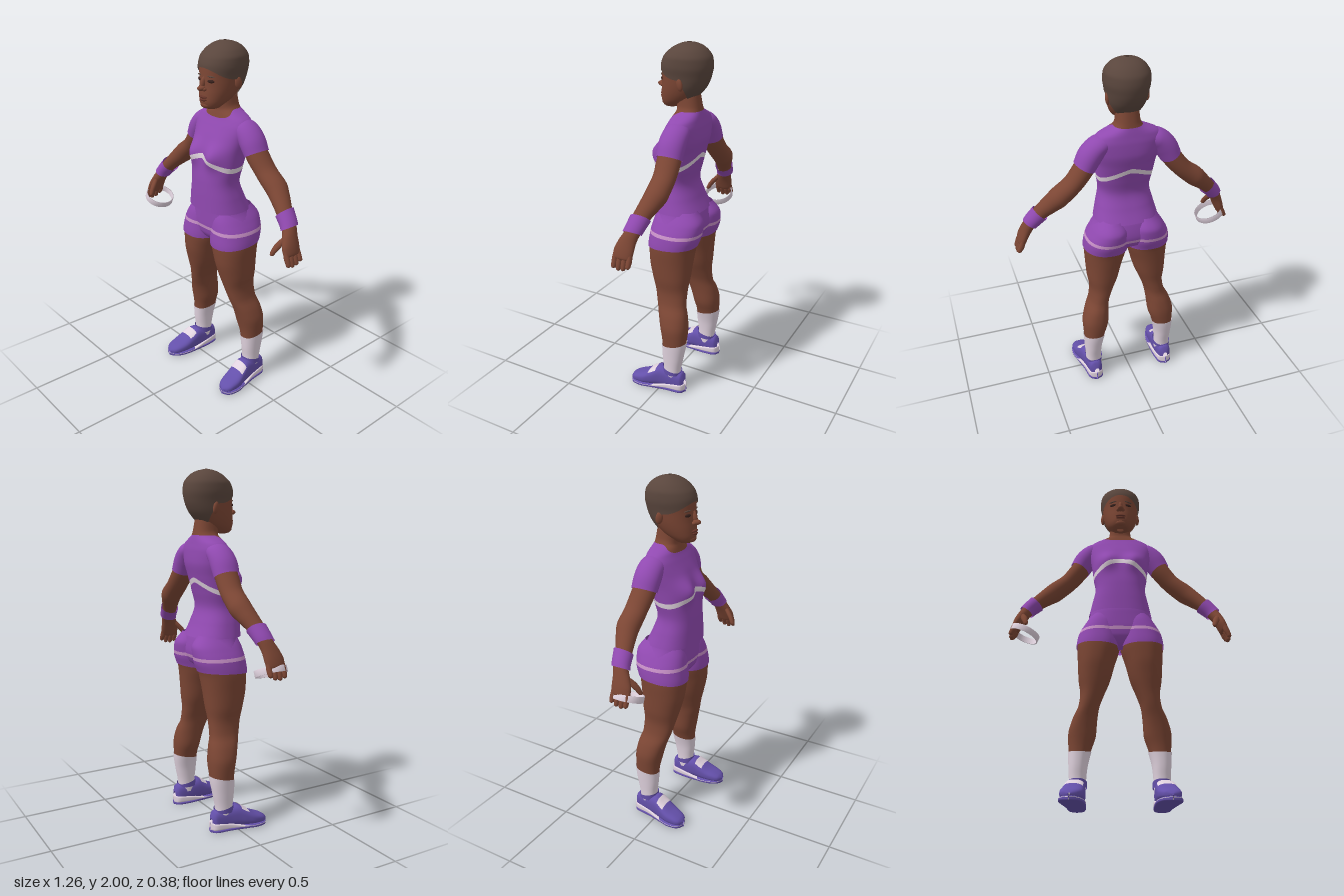
import * as THREE from 'three';

const mat = (name, color, side = THREE.DoubleSide) => {
  const m = new THREE.MeshStandardMaterial({ color, side });
  m.name = name;
  return m;
};

// Smooth interpolation of table rows [v, a, b, ...] without overshoot
function sample(rows, v) {
  let i = 0;
  while (i < rows.length - 2 && v > rows[i + 1][0]) i++;
  const r0 = rows[i], r1 = rows[i + 1], h = r1[0] - r0[0];
  const t = Math.min(1, Math.max(0, (v - r0[0]) / h));
  const slope = (j, k) => (rows[j + 1][k] - rows[j][k]) / (rows[j + 1][0] - rows[j][0]);
  const tangent = (j, k) => {
    if (j === 0) return slope(0, k);
    if (j === rows.length - 1) return slope(j - 1, k);
    const a = slope(j - 1, k), b = slope(j, k);
    return a * b <= 0 ? 0 : (2 * a * b) / (a + b);
  };
  return r0.slice(1).map((p, n) => {
    const k = n + 1, q = r1[k];
    return p + (q - p) * t * t * (3 - 2 * t)
      + h * t * (1 - t) * ((1 - t) * tangent(i, k) - t * tangent(i + 1, k));
  });
}

const pow = (c, e) => Math.sign(c) * Math.abs(c) ** e;

// Surface of stacked rounded sections; rows are [v, min a, max a, min b, max b]
function stack(rows, axis = 'y', e = 0.9) {
  const f = (u, v, off) => {
    const [a0, a1, b0, b1] = sample(rows, v);
    const a = (a0 + a1) / 2 + ((a1 - a0) / 2 + off) * pow(Math.cos(u), e);
    const b = (b0 + b1) / 2 + ((b1 - b0) / 2 + off) * pow(Math.sin(u), e);
    return axis === 'y' ? [a, v, b] : [a, b, v];
  };
  f.flip = axis === 'y';
  return f;
}

// Surface along a bent limb; points are [x, y, z, radius, z radius]
function limb(points) {
  const rows = points.map((p, i) => [i, ...p]);
  return (u, v, off) => {
    const [x, y, z, r, rz] = sample(rows, v);
    const p = sample(rows, Math.max(0, v - 0.1)), q = sample(rows, Math.min(rows.length - 1, v + 0.1));
    const tx = q[0] - p[0], ty = q[1] - p[1], l = Math.hypot(tx, ty) || 1;
    const c = Math.cos(u) * (r + off);
    return [x - (ty / l) * c, y + (tx / l) * c, z + Math.sin(u) * (rz + off)];
  };
}

// Mesh of the part of a surface between two v limits (numbers or functions of u)
function patch(name, f, lo, hi, material, { off = 0, s = 1, nu = 48, nv = 32, u0 = 0, u1 = Math.PI * 2 } = {}) {
  const at = (g, u) => (typeof g === 'function' ? g(u) : g);
  const full = u1 - u0 > 6.28, cols = full ? nu : nu + 1, pos = [], idx = [];
  for (let j = 0; j <= nv; j++) for (let i = 0; i < cols; i++) {
    const u = u0 + ((u1 - u0) * i) / nu, a = at(lo, u), b = at(hi, u);
    const p = f(u, a + ((b - a) * j) / nv, off);
    pos.push(p[0] * s, p[1], p[2]);
  }
  const flip = !!f.flip !== s < 0;
  for (let j = 0; j < nv; j++) for (let i = 0; i < nu; i++) {
    const a = j * cols + i, b = j * cols + ((i + 1) % cols), c = a + cols, d = b + cols;
    idx.push(...(flip ? [a, c, b, b, c, d] : [a, b, c, b, d, c]));
  }
  const g = new THREE.BufferGeometry();
  g.setAttribute('position', new THREE.Float32BufferAttribute(pos, 3));
  g.setIndex(idx);
  g.computeVertexNormals();
  const m = new THREE.Mesh(g, material);
  m.name = name;
  return m;
}

function ball(name, material, [x, y, z], [a, b, c], rot = [0, 0, 0]) {
  const m = new THREE.Mesh(new THREE.SphereGeometry(1, 20, 14), material);
  m.name = name;
  m.position.set(x, y, z);
  m.scale.set(a, b, c);
  m.rotation.set(...rot);
  return m;
}

export function createModel() {
  const model = new THREE.Group();
  model.name = 'athlete';
  const add = (...parts) => model.add(...parts);
  const skin = mat('skin', 0x7c4634), hair = mat('hair', 0x5a463d), purple = mat('purple cloth', 0x9049b0);
  const white = mat('pale trim', 0xe0d2de), pink = mat('pink trim', 0xc68fc6), shoe = mat('shoe purple', 0x6450aa);
  const dark = mat('eye dark', 0x3a231e), lip = mat('lips', 0x66352a);

  // Torso and neck share one surface
  const trunk = stack([
    [1.08, -0.183, 0.183, -0.158, 0.13], [1.16, -0.163, 0.163, -0.12, 0.13], [1.25, -0.145, 0.145, -0.092, 0.128],
    [1.33, -0.157, 0.157, -0.108, 0.12], [1.42, -0.168, 0.168, -0.13, 0.105], [1.5, -0.185, 0.185, -0.145, 0.075],
    [1.56, -0.195, 0.195, -0.142, 0.045], [1.6, -0.17, 0.17, -0.135, 0.025], [1.625, -0.12, 0.12, -0.13, 0.016],
    [1.645, -0.078, 0.078, -0.125, 0.01], [1.67, -0.066, 0.066, -0.12, 0.012], [1.73, -0.06, 0.06, -0.11, 0.02]], 'y', 0.85);
  const torso = (u, v, off) => {
    const p = trunk(u, v, off);
    if (p[2] > 0) p[2] += 0.036 * Math.exp(-(((Math.abs(p[0]) - 0.08) / 0.055) ** 2) - ((v - 1.405) / 0.06) ** 2);
    return p;
  };
  torso.flip = true;
  const chevron = (d) => (u) => 1.4 + d - 0.07 * Math.abs(Math.cos(u)) ** 1.1;
  const neckline = (u) => 1.645 - 0.045 * Math.max(0, Math.sin(u)) ** 2;
  add(patch('lowerShirt', torso, 1.085, chevron(-0.014), purple, { nu: 72 }),
    patch('chestStripe', torso, chevron(-0.014), chevron(0.014), white, { nu: 72, nv: 4 }),
    patch('upperShirt', torso, chevron(0.014), neckline, purple, { nu: 72 }),
    patch('neck', torso, neckline, 1.73, skin, { nv: 16 }));

  // Hips of the shorts
  const hips = stack([
    [0.87, -0.02, 0.02, -0.05, 0.03], [0.9, -0.12, 0.12, -0.09, 0.075], [0.94, -0.21, 0.21, -0.145, 0.1],
    [1, -0.216, 0.216, -0.165, 0.108], [1.08, -0.181, 0.181, -0.152, 0.108], [1.14, -0.16, 0.16, -0.12, 0.1]]);
  add(patch('lowerHips', hips, 0.87, 0.965, purple, { nv: 14 }),
    patch('hipStripe', hips, 0.965, 0.984, pink, { nv: 2 }),
    patch('upperHips', hips, 0.984, 1.14, purple, { nv: 14 }));

  // Head, with the hair over its upper part
  const head = stack([
    [1.652, -0.02, 0.02, 0.04, 0.07], [1.658, -0.042, 0.042, 0.01, 0.09], [1.675, -0.06, 0.06, -0.02, 0.102],
    [1.7, -0.076, 0.076, -0.07, 0.108], [1.74, -0.091, 0.091, -0.115, 0.106], [1.78, -0.1, 0.1, -0.145, 0.102],
    [1.83, -0.106, 0.106, -0.165, 0.1], [1.88, -0.114, 0.114, -0.173, 0.097], [1.92, -0.112, 0.112, -0.168, 0.083],
    [1.955, -0.094, 0.094, -0.146, 0.052], [1.98, -0.066, 0.066, -0.115, 0.015],
    [1.994, -0.034, 0.034, -0.08, -0.02], [2, -0.002, 0.002, -0.05, -0.046]], 'y', 0.95);
  const hairline = (u) => {
    const s = Math.sin(u);
    return s > 0 ? 1.815 + 0.06 * s * s : 1.815 - 0.105 * Math.min(1, -s * 1.3);
  };
  add(patch('face', head, 1.652, (u) => hairline(u) + 0.02, skin),
    patch('hair', head, hairline, 2, hair, { off: 0.007 }),
    ball('noseBridge', skin, [0, 1.797, 0.1], [0.013, 0.035, 0.018], [-0.3, 0, 0]),
    ball('noseTip', skin, [0, 1.769, 0.112], [0.02, 0.015, 0.027]),
    ball('upperLip', lip, [0, 1.722, 0.103], [0.03, 0.008, 0.014]),
    ball('lowerLip', lip, [0, 1.708, 0.103], [0.027, 0.009, 0.014]),
    ball('chin', skin, [0, 1.678, 0.085], [0.035, 0.02, 0.023]));

  // Shoe and sole surfaces, running heel to toe
  const upper = stack([
    [-0.148, 0.212, 0.24, 0.035, 0.08], [-0.135, 0.192, 0.262, 0.018, 0.118], [-0.1, 0.184, 0.268, 0.012, 0.128],
    [-0.05, 0.181, 0.275, 0.012, 0.135], [0, 0.181, 0.286, 0.012, 0.142], [0.05, 0.183, 0.3, 0.012, 0.115],
    [0.1, 0.189, 0.309, 0.012, 0.085], [0.15, 0.203, 0.304, 0.012, 0.065], [0.178, 0.222, 0.288, 0.015, 0.05],
    [0.188, 0.25, 0.262, 0.025, 0.035]], 'z', 0.75);
  const sole = (y0, y1, y2, y3) => stack([
    [-0.156, 0.224, 0.23, y0, y1], [-0.15, 0.2, 0.252, y0, y1], [-0.125, 0.183, 0.27, y0, y1],
    [-0.05, 0.176, 0.279, y0, y2], [0.06, 0.178, 0.304, y0, y3], [0.11, 0.185, 0.314, y0, y3],
    [0.155, 0.202, 0.308, y0, y3], [0.183, 0.23, 0.284, y0, y3], [0.19, 0.254, 0.26, y0, y3]], 'z', 0.45);
  const midsole = sole(0.012, 0.056, 0.046, 0.02), outsole = sole(0, 0.016, 0.016, 0.024);

  const leg = stack([
    [0.08, 0.185, 0.266, -0.11, -0.02], [0.14, 0.184, 0.267, -0.115, -0.02], [0.22, 0.178, 0.272, -0.13, -0.012],
    [0.32, 0.156, 0.279, -0.146, -0.005], [0.4, 0.131, 0.283, -0.15, 0.01], [0.48, 0.125, 0.263, -0.14, 0.03],
    [0.55, 0.115, 0.23, -0.122, 0.053], [0.62, 0.09, 0.221, -0.121, 0.07], [0.7, 0.057, 0.232, -0.13, 0.091],
    [0.8, 0.03, 0.238, -0.14, 0.112], [0.89, 0.004, 0.243, -0.152, 0.117], [0.96, -0.002, 0.236, -0.175, 0.11],
    [1.03, 0.005, 0.203, -0.182, 0.098], [1.1, 0.03, 0.155, -0.14, 0.07]]);
  const hem = (u) => 0.892 + 0.006 * Math.cos(u) - 0.01 * Math.sin(u);

  const sleeve = limb([[0.08, 1.575, -0.06, 0.03, 0.045], [0.16, 1.546, -0.06, 0.057, 0.073],
    [0.21, 1.494, -0.06, 0.065, 0.076], [0.243, 1.435, -0.062, 0.06, 0.073]]);
  const arm = limb([[0.15, 1.54, -0.06, 0.05, 0.06], [0.2, 1.495, -0.06, 0.056, 0.066], [0.252, 1.42, -0.064, 0.055, 0.066],
    [0.315, 1.345, -0.07, 0.052, 0.063], [0.385, 1.287, -0.07, 0.056, 0.063], [0.44, 1.237, -0.055, 0.048, 0.056],
    [0.49, 1.187, -0.035, 0.04, 0.047], [0.54, 1.13, -0.02, 0.034, 0.043], [0.567, 1.08, 0, 0.03, 0.05],
    [0.586, 1.035, 0.01, 0.027, 0.057], [0.598, 1, 0.012, 0.022, 0.052], [0.603, 0.985, 0.012, 0.004, 0.02]]);

  for (const s of [1, -1]) {
    const side = s > 0 ? 'left' : 'right';
    const part = (name, ...rest) => {
      const o = typeof rest[rest.length - 1] === 'object' && !rest[rest.length - 1].isMaterial ? rest.pop() : {};
      add(patch(side + name, ...rest, { ...o, s }));
    };
    // Legs, shorts and socks
    part('Leg', leg, 0.28, 0.91, skin);
    part('ShortsLeg', leg, hem, 0.965, purple, { off: 0.006, nv: 8 });
    part('ShortsStripe', leg, 0.965, 0.984, pink, { off: 0.006, nv: 2 });
    part('ShortsSeat', leg, 0.984, 1.1, purple, { off: 0.006, nv: 12 });
    part('Sock', leg, 0.08, (u) => 0.31 - 0.015 * Math.sin(u), white, { off: 0.004, nv: 16 });
    // Shoes
    part('Shoe', upper, -0.148, 0.188, shoe);
    part('ShoeCollar', leg, 0.11, (u) => 0.14 + 0.014 * Math.sin(u), shoe, { off: 0.01, nv: 4 });
    part('ShoeTongue', upper, 0.02, 0.065, white, { off: 0.004, u0: 0.7, u1: 2.4, nu: 16, nv: 8 });
    part('Midsole', midsole, -0.156, 0.19, white);
    part('Outsole', outsole, -0.156, 0.19, shoe);
    // Arms and hands
    part('Sleeve', sleeve, 0, 3, purple);
    part('Arm', arm, 0, 11, skin, { nv: 66, nu: 32 });
    part('Wristband', arm, 6, 7.15, purple, { off: 0.009, nv: 8 });
    [0.054, 0.026, -0.003, -0.031].forEach((z, i) => {
      const d = [0.008, 0, 0.004, 0.018][i];
      part('Finger', limb([[0.59, 1.03, z, 0.012, 0.012], [0.603, 0.99, z, 0.016, 0.015], [0.613, 0.963 + d / 2, z, 0.014, 0.014],
        [0.618, 0.943 + d, z, 0.012, 0.012], [0.619, 0.934 + d, z, 0.001, 0.001]]), 0, 4, skin, { nu: 12, nv: 16 });
    });
    part('Thumb', limb([[0.565, 1.085, 0.025, 0.014, 0.018], [0.549, 1.05, 0.058, 0.018, 0.018],
      [0.538, 1.02, 0.08, 0.015, 0.015], [0.532, 0.998, 0.09, 0.011, 0.012], [0.53, 0.99, 0.092, 0.001, 0.001]]), 0, 4, skin, { nu: 12, nv: 16 });
    // Eyes, brows and ears
    add(ball(side + 'Eye', dark, [s * 0.046, 1.808, 0.088], [0.02, 0.009, 0.006], [0, s * 0.4, 0]),
      ball(side + 'Brow', hair, [s * 0.047, 1.832, 0.088], [0.024, 0.004, 0.005], [0, s * 0.4, s * -0.1]),
      ball(side + 'Nostril', skin, [s * 0.014, 1.764, 0.106], [0.012, 0.01, 0.014]),
      ball(side + 'Ear', skin, [s * 0.106, 1.793, -0.048], [0.012, 0.034, 0.02], [0.2, s * -0.35, 0]));
  }

  // Hoop held in the right hand
  const profile = [[0.08, -0.017], [0.086, -0.017], [0.086, 0.017], [0.08, 0.017], [0.08, -0.017]];
  const hoop = new THREE.Mesh(
    new THREE.LatheGeometry(profile.map(([x, y]) => new THREE.Vector2(x, y)), 48).toNonIndexed(), white);
  hoop.name = 'hoop';
  hoop.position.set(-0.544, 0.968, 0.02);
  hoop.rotation.z = -0.4;
  add(hoop);
  return model;
}
